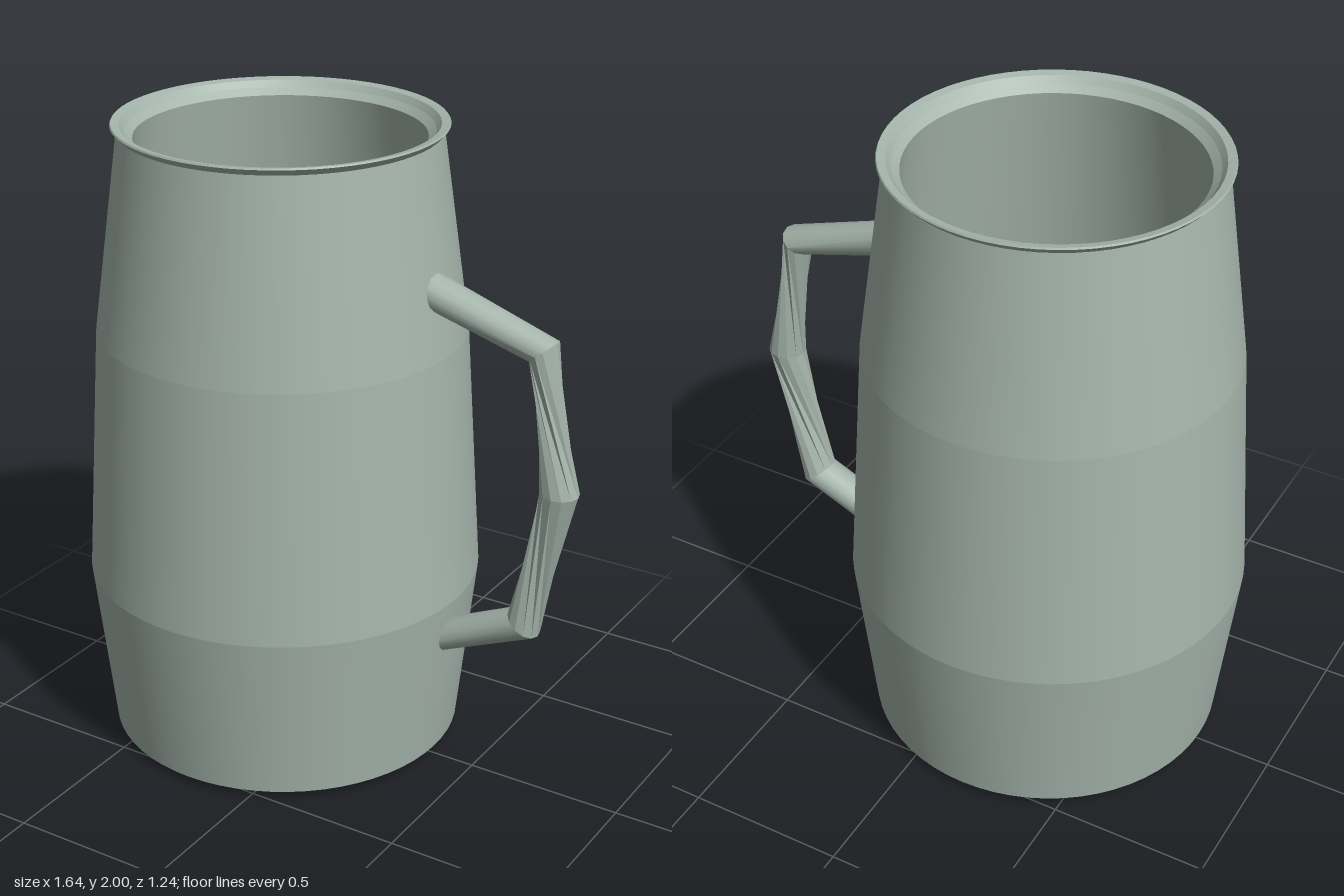
import * as THREE from 'three';
import { toCreasedNormals } from 'three/addons/utils/BufferGeometryUtils.js';

const SIDES = 64;
const BODY_X = -0.2;

// One smooth band per profile step, so every kink stays a crisp ring
function addBands(group, name, profile, material) {
  for (let i = 0; i < profile.length - 1; i++) {
    const pts = [profile[i], profile[i + 1]].map(([r, y]) => new THREE.Vector2(r, y));
    const band = new THREE.Mesh(new THREE.LatheGeometry(pts, SIDES), material);
    band.name = name + (i + 1);
    group.add(band);
  }
}

// Faceted tube through mitred rings; each ring has a centre, an outward half axis,
// a half width in z and a twist angle
function ringTube(rings, sides) {
  const pos = [], index = [];
  for (const { c, u, w, twist } of rings) {
    for (let j = 0; j < sides; j++) {
      const a = (j / sides) * Math.PI * 2 + twist;
      pos.push(c[0] + u[0] * Math.cos(a), c[1] + u[1] * Math.cos(a), w * Math.sin(a));
    }
  }
  for (let i = 0; i < rings.length - 1; i++) {
    for (let j = 0; j < sides; j++) {
      const k = (j + 1) % sides;
      const a = i * sides + j, b = i * sides + k, c = a + sides, d = b + sides;
      index.push(a, b, c, b, d, c);
    }
  }
  const g = new THREE.BufferGeometry();
  g.setAttribute('position', new THREE.Float32BufferAttribute(pos, 3));
  g.setIndex(index);
  return g;
}

export function createModel() {
  const model = new THREE.Group();
  model.name = 'mug';
  const glaze = new THREE.MeshStandardMaterial({ color: 0xa5b5ac });
  glaze.name = 'grey green glaze';

  const body = new THREE.Group();
  body.name = 'body';
  body.position.x = BODY_X;
  model.add(body);

  // Underside, bevelled foot and barrel-shaped outside
  addBands(body, 'outerWall', [
    [0, 0], [0.47, 0], [0.56, 0.025], [0.62, 0.57], [0.57, 1.36], [0.485, 1.975],
  ], glaze);

  // Flared lip stepping down into the mouth
  addBands(body, 'lip', [
    [0.485, 1.975], [0.503, 1.995], [0.5, 2], [0.475, 1.995], [0.46, 1.975], [0.437, 1.955],
  ], glaze);

  // Inside wall and floor
  addBands(body, 'innerWall', [
    [0.437, 1.955], [0.52, 1.36], [0.57, 0.57], [0.515, 0.06], [0, 0.06],
  ], glaze);

  // Angular handle: straight arms joined by two twisted grips
  const turn = -Math.PI / 3;
  const rings = [
    { c: [0.322, 1.568], u: [0, 0.056], w: 0.06, twist: 0 },
    { c: [0.692, 1.452], u: [0.038, 0.033], w: 0.06, twist: 0 },
    { c: [0.76, 1.02], u: [0.06, 0], w: 0.057, twist: turn },
    { c: [0.662, 0.565], u: [0.048, -0.035], w: 0.06, twist: 2 * turn },
    { c: [0.38, 0.441], u: [0, -0.053], w: 0.06, twist: 2 * turn },
  ];
  ['upperArm', 'upperGrip', 'lowerGrip', 'lowerArm'].forEach((name, i) => {
    const crease = name.endsWith('Arm') ? 0.7 : 0.3;
    const part = new THREE.Mesh(toCreasedNormals(ringTube(rings.slice(i, i + 2), 12), crease), glaze);
    part.name = name;
    model.add(part);
  });

  return model;
}
